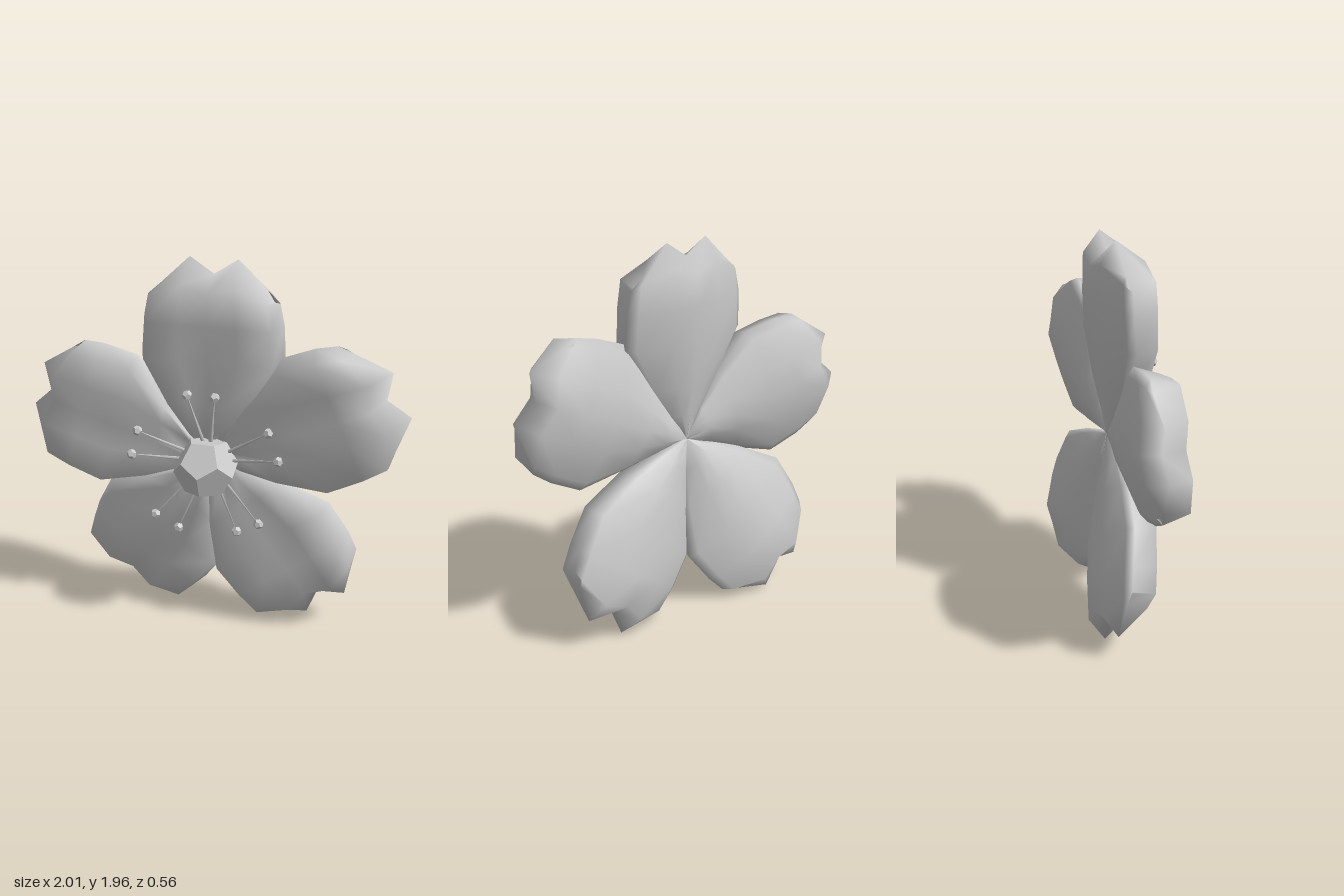
import * as THREE from 'three';
import { mergeVertices } from 'three/addons/utils/BufferGeometryUtils.js';

const CENTER_Y = 0.92;
const COLUMNS = [-1, -0.88, -0.4, 0, 0.4, 0.88, 1];

// Cross-sections along a petal: distance, half width, front, rim and back depth,
// and the depth of the two pleats beside the middle of the front
const SECTIONS = [
  { r: 0.0, w: 0.0, front: 0.0, rim: -0.03, back: -0.05 },
  { r: 0.14, w: 0.112, front: 0.075, rim: -0.02, back: -0.07, pleat: 0.05 },
  { r: 0.3, w: 0.23, front: 0.1, rim: -0.01, back: -0.1, pleat: 0.045 },
  { r: 0.53, w: 0.37, front: 0.105, rim: -0.02, back: -0.127, pleat: 0.025 },
  { r: 0.72, w: 0.358, front: 0.108, rim: -0.03, back: -0.135, pleat: 0.01 },
  { r: 0.83, w: 0.335, front: 0.105, rim: -0.03, back: -0.132, notch: 0.45 },
  { r: 0.83, w: 0.305, front: -0.04, rim: -0.04, back: -0.04, notch: 1 },
];
// Extra reach of the notched end, by column, from the rim to the middle
const END_REACH = { 1: 0.0, 0.88: 0.06, 0.4: 0.2, 0: 0.12 };
const FRONT_FULLNESS = { 0.88: 0.97, 0.4: 1, 0: 0.93 };
const BACK_FULLNESS = { 0.88: 0.32, 0.4: 0.9, 0: 1 };

// Closed, puffy petal growing along +y with a notched end
function petalGeometry(tilt, length) {
  const positions = [];
  const index = [];
  const backColumns = COLUMNS.slice(1, -1).reverse();
  const ringSize = COLUMNS.length + backColumns.length;

  const addPoint = (s, u, isBack) => {
    const a = Math.abs(u);
    const y = (s.r + (s.notch || 0) * END_REACH[a]) * length;
    let z = s.rim;
    if (a < 1 && isBack) z = THREE.MathUtils.lerp(s.rim, s.back, BACK_FULLNESS[a]);
    if (a < 1 && !isBack) {
      z = THREE.MathUtils.lerp(s.rim, s.front, FRONT_FULLNESS[a]);
      if (a === 0.4) z -= s.pleat || 0;
    }
    positions.push(s.w * u, y, z + tilt * y);
  };

  SECTIONS.forEach((s) => {
    COLUMNS.forEach((u) => addPoint(s, u, false));
    backColumns.forEach((u) => addPoint(s, u, true));
  });
  for (let i = 0; i < SECTIONS.length - 1; i++) {
    for (let j = 0; j < ringSize; j++) {
      const k = (j + 1) % ringSize;
      const a = i * ringSize + j, b = i * ringSize + k;
      const c = b + ringSize, d = a + ringSize;
      index.push(a, b, c, a, c, d);
    }
  }
  let geometry = new THREE.BufferGeometry();
  geometry.setAttribute('position', new THREE.Float32BufferAttribute(positions, 3));
  geometry.setIndex(index);
  geometry = mergeVertices(geometry, 1e-4);
  geometry.computeVertexNormals();
  return geometry;
}

// Twelve-sided bud with one corner pointing forward and one face turned up
function budGeometry(radius) {
  const geometry = new THREE.DodecahedronGeometry(radius);
  const turn = new THREE.Quaternion().setFromUnitVectors(
    new THREE.Vector3(1, 1, 1).normalize(), new THREE.Vector3(0, 0, 1));
  const phi = (1 + Math.sqrt(5)) / 2;
  const neighbour = new THREE.Vector3(0, 1 / phi, phi).applyQuaternion(turn);
  geometry.applyQuaternion(turn);
  geometry.rotateZ(-Math.PI / 2 - Math.atan2(neighbour.y, neighbour.x));
  return geometry;
}

export function createModel() {
  const group = new THREE.Group();
  const smooth = new THREE.MeshStandardMaterial({ color: 0xcccccc, side: THREE.DoubleSide });
  const faceted = new THREE.MeshStandardMaterial({ color: 0xcccccc, flatShading: true });

  const add = (name, geometry, material, parent = group) => {
    const mesh = new THREE.Mesh(geometry, material);
    mesh.name = name;
    parent.add(mesh);
    return mesh;
  };

  // Petals: clockwise angle from the top, lean along z, and relative length
  const petals = [
    ['topPetal', 0, 0, 1],
    ['upperLeftPetal', 65.6, 0.04, 1.015],
    ['lowerLeftPetal', 144.5, -0.075, 1],
    ['lowerRightPetal', 212, -0.165, 0.99],
    ['upperRightPetal', 285.2, -0.06, 0.98],
  ];
  petals.forEach(([name, degrees, tilt, length]) => {
    const petal = add(name, petalGeometry(tilt, length), smooth);
    petal.position.y = CENTER_Y;
    petal.rotation.z = -THREE.MathUtils.degToRad(degrees);
  });

  // Central bud
  add('bud', budGeometry(0.165), faceted).position.set(0, 0.91, 0.118);

  // Stamens: thin tapering filaments, each with a small anther
  const tips = [
    [-0.08, 1.31, 0.17], [0.06, 1.31, 0.17], [0.32, 1.13, 0.12], [0.38, 1.0, 0.155],
    [0.28, 0.63, 0.13], [0.16, 0.56, 0.105], [-0.15, 0.54, 0.105], [-0.27, 0.61, 0.12],
    [-0.39, 0.94, 0.13], [-0.35, 1.08, 0.145],
  ];
  const up = new THREE.Vector3(0, 1, 0);
  tips.forEach(([x, y, z]) => {
    const stamen = new THREE.Group();
    stamen.name = 'stamen';
    group.add(stamen);
    const tip = new THREE.Vector3(x, y, z);
    const base = new THREE.Vector3(x * 0.25, CENTER_Y + (y - CENTER_Y) * 0.25, 0.08);
    const along = tip.clone().sub(base);
    const filament = add('filament', new THREE.CylinderGeometry(0.002, 0.012, along.length(), 4), smooth, stamen);
    filament.position.copy(base).add(tip).multiplyScalar(0.5);
    filament.quaternion.setFromUnitVectors(up, along.normalize());
    const anther = add('anther', new THREE.DodecahedronGeometry(0.026), faceted, stamen);
    anther.position.copy(tip);
    anther.quaternion.copy(filament.quaternion);
  });

  return group;
}
